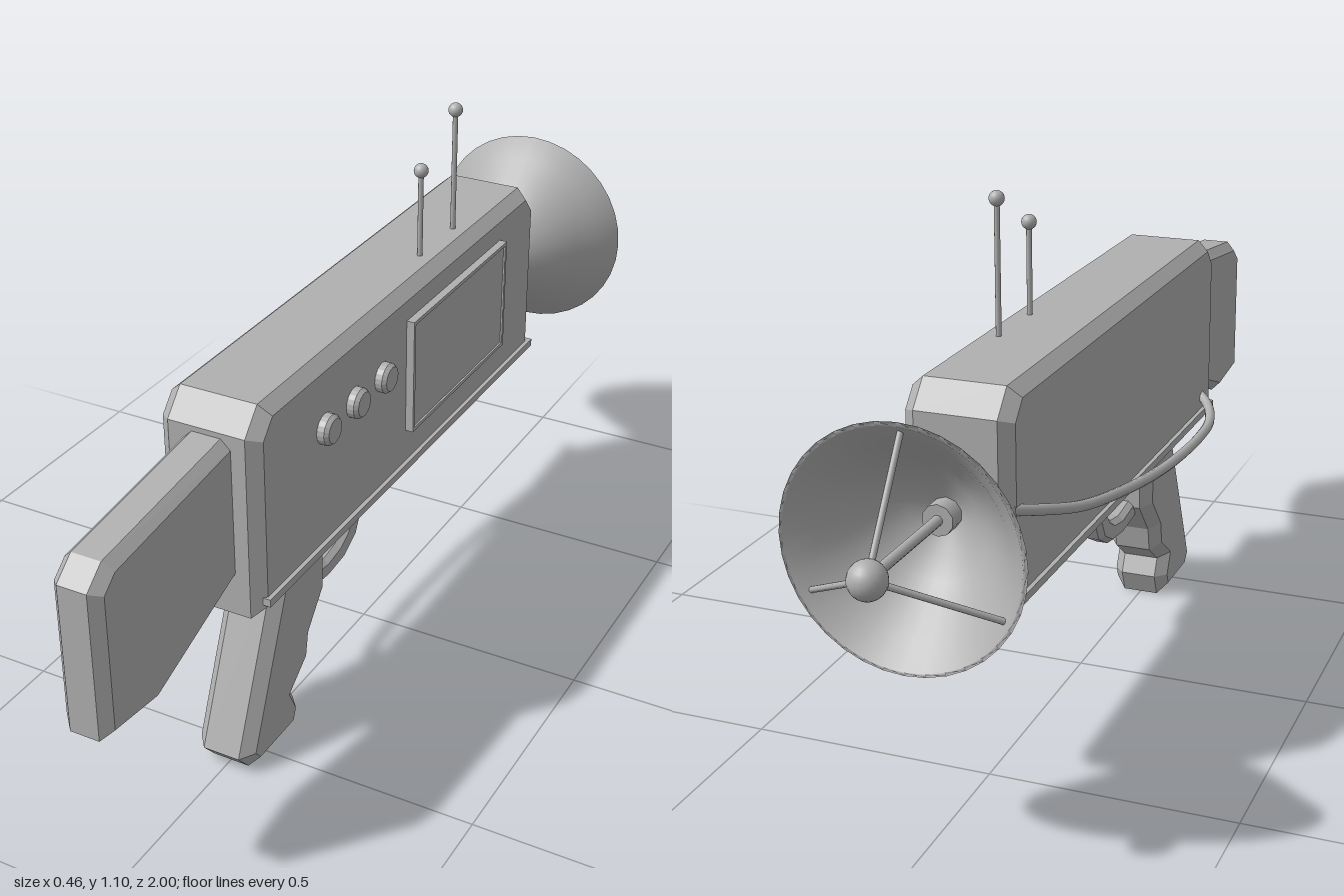
import * as THREE from 'three';

const grey = new THREE.MeshStandardMaterial({ color: 0xb0b0b0 });
grey.name = 'grey';
const greyOpen = grey.clone();
greyOpen.name = 'grey';
greyOpen.side = THREE.DoubleSide;

export function createModel() {
  const group = new THREE.Group();
  const V = (x, y, z) => new THREE.Vector3(x, y, z);

  function add(name, geometry, material = grey) {
    const mesh = new THREE.Mesh(geometry, material);
    mesh.name = name;
    group.add(mesh);
    return mesh;
  }

  // Side outline given as [z, y], extruded across x to a full width with chamfered edges
  function slab(name, points, width, bevel, inset) {
    const shape = new THREE.Shape(points.map(([z, y]) => new THREE.Vector2(-z, y)));
    const depth = width - 2 * bevel;
    const g = new THREE.ExtrudeGeometry(shape, {
      depth, bevelEnabled: true, bevelThickness: bevel,
      bevelSize: inset, bevelOffset: -inset, bevelSegments: 1,
    });
    g.translate(0, 0, -depth / 2);
    g.rotateY(Math.PI / 2);
    return add(name, g);
  }

  // Round rod between two points
  function rod(name, a, b, radius) {
    const d = b.clone().sub(a);
    const mesh = add(name, new THREE.CylinderGeometry(radius, radius, d.length(), 10));
    mesh.position.copy(a).add(b).multiplyScalar(0.5);
    mesh.quaternion.setFromUnitVectors(V(0, 1, 0), d.normalize());
  }

  function ball(name, p, radius) {
    add(name, new THREE.SphereGeometry(radius, 20, 14)).position.copy(p);
  }

  // Main housing, shoulder stock and pistol grip
  slab('body', [[0.59, 0.39], [-0.62, 0.39], [-0.62, 0.77], [-0.575, 0.82],
    [0.545, 0.82], [0.59, 0.77]], 0.21, 0.025, 0.022);
  slab('stock', [[1, 0.38], [0.85, 0.363], [0.54, 0.478], [0.54, 0.765],
    [0.955, 0.718], [1, 0.68]], 0.1, 0.02, 0.02);
  slab('grip', [[0.59, 0.04], [0.555, 0], [0.4, 0], [0.38, 0.05], [0.4, 0.09],
    [0.34, 0.135], [0.33, 0.19], [0.267, 0.265], [0.267, 0.42], [0.43, 0.42]], 0.125, 0.023, 0.024);

  // Trigger guard and trigger
  slab('triggerGuard', [[0.29, 0.235], [0.2, 0.225], [0.13, 0.232], [0.075, 0.262], [0.045, 0.32],
    [0.045, 0.41], [0.096, 0.41], [0.096, 0.325], [0.12, 0.295], [0.15, 0.278], [0.2, 0.27], [0.29, 0.282]],
    0.05, 0.012, 0.01);
  slab('trigger', [[0.17, 0.41], [0.18, 0.355], [0.187, 0.325], [0.167, 0.298],
    [0.16, 0.305], [0.168, 0.335], [0.152, 0.36], [0.138, 0.41]], 0.03, 0.004, 0.003);

  // Thin rails along the lower edges
  for (const s of [-1, 1]) {
    add('rail', new THREE.BoxGeometry(0.016, 0.016, 1.19)).position.set(s * 0.106, 0.425, -0.02);
  }

  // Screen on the left side, with a raised bezel
  add('screen', new THREE.BoxGeometry(0.016, 0.234, 0.429)).position.set(0.11, 0.63, -0.2075);
  const box = (h, d) => new THREE.BoxGeometry(0.02, h, d);
  for (const s of [-1, 1]) {
    add('screenBezel', box(0.008, 0.445)).position.set(0.112, 0.63 + s * 0.121, -0.2075);
    add('screenBezel', box(0.25, 0.008)).position.set(0.112, 0.63, -0.2075 + s * 0.2185);
  }

  // Control knobs with chamfered caps
  const knob = [[0.031, 0], [0.031, 0.02], [0.025, 0.028], [0, 0.028]];
  for (const z of [0.35, 0.235, 0.12]) {
    const flat = new THREE.LatheGeometry(knob.map(p => new THREE.Vector2(...p)), 20).toNonIndexed();
    flat.computeVertexNormals();
    flat.rotateZ(-Math.PI / 2);
    add('knob', flat).position.set(0.1, 0.68, z);
  }

  // Antennas
  for (const [z, top] of [[-0.15, 1.005], [-0.305, 1.083]]) {
    rod('antenna', V(0.05, 0.8, z), V(0.05, top, z), 0.0055);
    ball('antennaTip', V(0.05, top, z), 0.015);
  }

  // Dish: radius against distance from the housing
  const outline = [[0, 0], [0.03, 0.018], [0.075, 0.05], [0.118, 0.09], [0.155, 0.135], [0.19, 0.18],
    [0.228, 0.225], [0.22, 0.227], [0.18, 0.184], [0.145, 0.139], [0.108, 0.096], [0.068, 0.06], [0, 0.03]];
  const dish = add('dish', new THREE.LatheGeometry(outline.map(p => new THREE.Vector2(...p)), 36), greyOpen);
  dish.rotation.x = -Math.PI / 2;
  dish.position.set(0, 0.605, -0.62);

  // Feed: hub, centre rod, three struts and the focus ball
  const focus = V(0, 0.605, -0.965);
  rod('dishMount', V(0, 0.605, -0.6), V(0, 0.605, -0.64), 0.03);
  rod('dishHub', V(0, 0.605, -0.64), V(0, 0.605, -0.7), 0.03);
  rod('feedRod', V(0, 0.605, -0.65), focus, 0.01);
  for (let i = 0; i < 3; i++) {
    const a = Math.PI / 2 + i * Math.PI * 2 / 3;
    rod('feedStrut', V(0.206 * Math.cos(a), 0.605 + 0.206 * Math.sin(a), -0.83), focus, 0.006);
  }
  ball('feedBall', focus, 0.035);

  // Cable sagging along the right side
  const path = new THREE.CatmullRomCurve3([
    V(-0.095, 0.6, -0.6), V(-0.125, 0.575, -0.52), V(-0.15, 0.54, -0.4), V(-0.166, 0.5, -0.2),
    V(-0.172, 0.462, 0.05), V(-0.167, 0.442, 0.3), V(-0.153, 0.44, 0.42), V(-0.125, 0.453, 0.49),
    V(-0.09, 0.467, 0.525)]);
  add('cable', new THREE.TubeGeometry(path, 60, 0.011, 10));

  return group;
}
